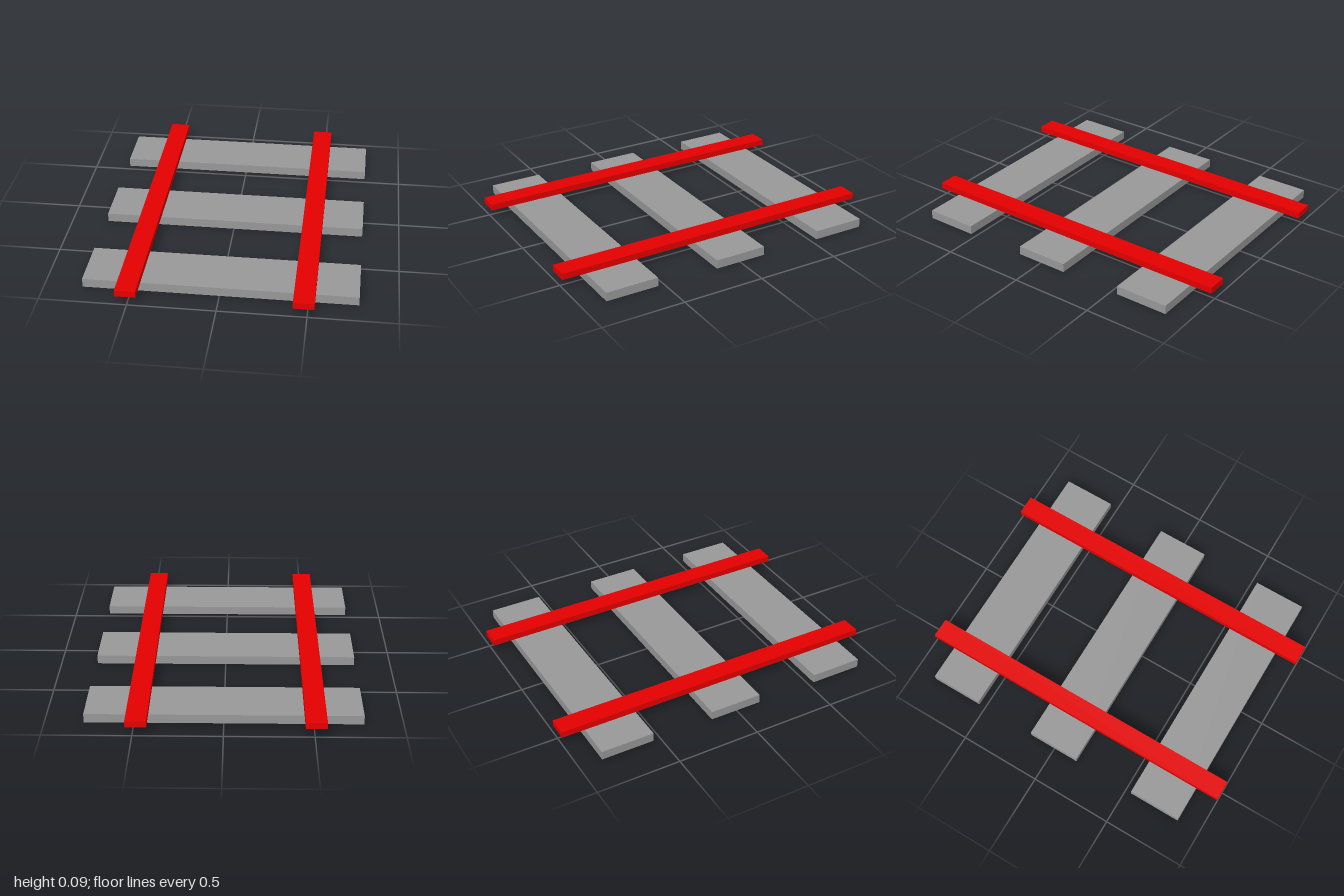
import * as THREE from 'three';

const SLEEPER = { width: 1.56, height: 0.053, depth: 0.32 };
const RAIL = { width: 0.119, height: 0.038, depth: 2 };

export function createModel() {
  const track = new THREE.Group();
  track.name = 'railTrack';

  const grey = new THREE.MeshStandardMaterial({ color: 0x999999 });
  const red = new THREE.MeshStandardMaterial({ color: 0xe60000 });

  // Adds a box resting on height y
  const addBox = (name, size, material, x, y, z) => {
    const mesh = new THREE.Mesh(new THREE.BoxGeometry(size.width, size.height, size.depth), material);
    mesh.name = name;
    mesh.position.set(x, y + size.height / 2, z);
    track.add(mesh);
  };

  // Three sleepers lying across the track
  [['backSleeper', -0.702], ['middleSleeper', -0.005], ['frontSleeper', 0.697]].forEach(([name, z]) =>
    addBox(name, SLEEPER, grey, 0, 0, z));

  // Two flat rails on top, set slightly off centre
  [['rightRail', -0.507], ['leftRail', 0.479]].forEach(([name, x]) =>
    addBox(name, RAIL, red, x, SLEEPER.height, 0));

  return track;
}
